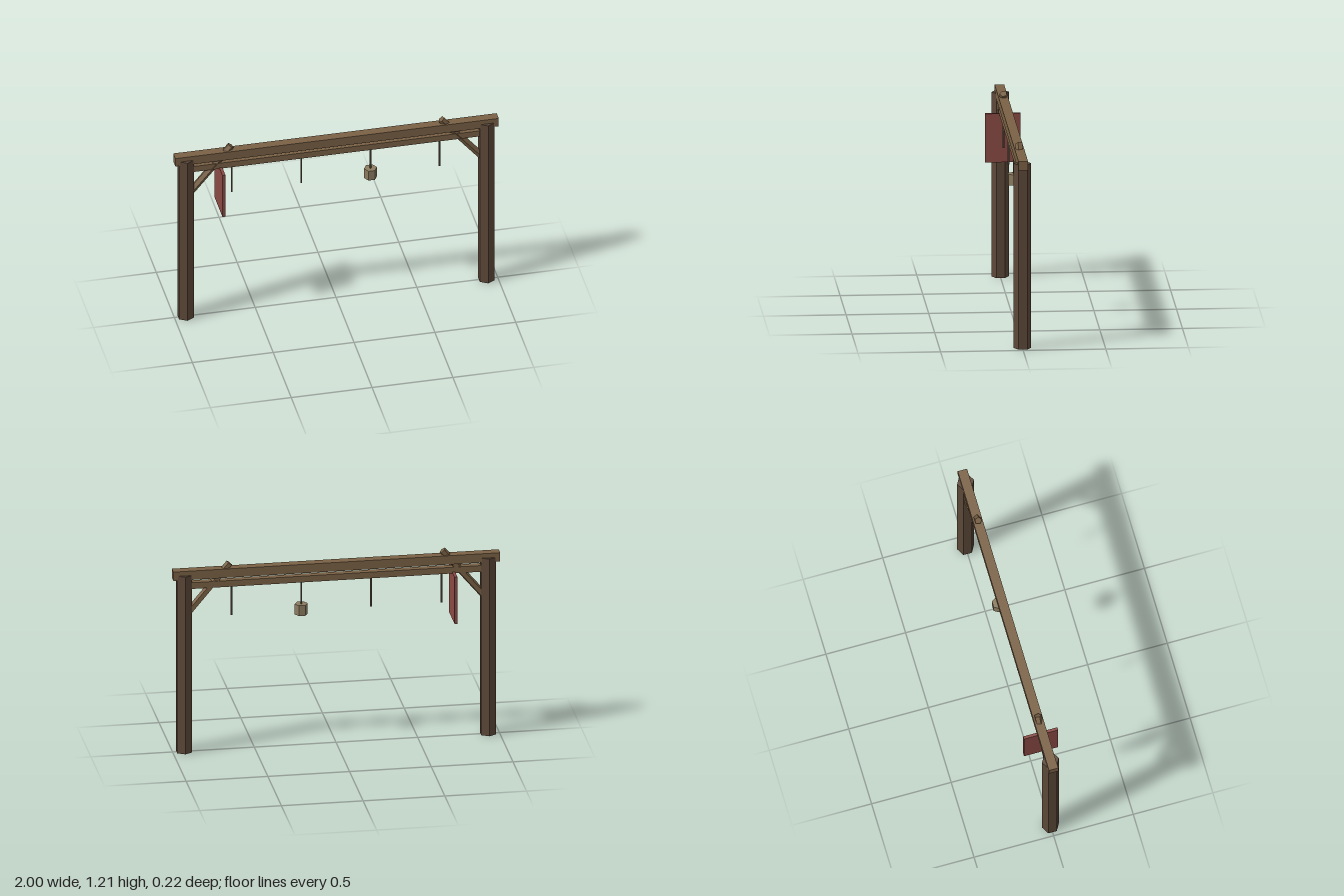
import * as THREE from 'three';

const mat = (color) => {
  const m = new THREE.MeshStandardMaterial({ flatShading: true });
  m.color.set(color);
  return m;
};

export function createModel() {
  const group = new THREE.Group();
  const darkWood = mat(0x5c4838);
  const wood = mat(0x7a6145);
  const rodWood = mat(0x6e6350);
  const blockWood = mat(0x8c7c60);
  const red = mat(0x8a4a44);

  const add = (name, geometry, material, x, y, z = 0) => {
    const mesh = new THREE.Mesh(geometry, material);
    mesh.name = name;
    mesh.position.set(x, y, z);
    group.add(mesh);
    return mesh;
  };

  // Hexagonal posts and slanted five-sided braces, mirrored
  for (const [side, s] of [['left', 1], ['right', -1]]) {
    add(`${side}Post`, new THREE.CylinderGeometry(0.053, 0.053, 1.145, 6), darkWood, s * 0.93, 0.5725);

    const low = new THREE.Vector3(s * 0.912, 0.888, 0);
    const high = new THREE.Vector3(s * 0.651, 1.2, 0);
    const dir = high.clone().sub(low);
    const brace = add(`${side}Brace`, new THREE.CylinderGeometry(0.023, 0.023, dir.length(), 5), wood,
      (low.x + high.x) / 2, (low.y + high.y) / 2);
    brace.rotation.z = Math.atan2(-dir.x, dir.y);
  }

  // Horizontal beams
  add('topBeam', new THREE.BoxGeometry(2, 0.057, 0.058), wood, 0, 1.1455);
  add('lowerBeam', new THREE.BoxGeometry(1.84, 0.04, 0.042), wood, 0, 1.075);

  // Thin hanging rods
  for (const x of [-0.645, -0.215, 0.213, 0.64]) {
    add('hangingRod', new THREE.CylinderGeometry(0.006, 0.006, 0.2, 6), rodWood, x, 0.965);
  }

  // Hanging block on one rod
  const block = add('hangingBlock', new THREE.CylinderGeometry(0.04, 0.04, 0.067, 6), blockWood, 0.213, 0.877);
  block.rotation.y = Math.PI / 6;

  // Hanging red panel
  add('hangingPanel', new THREE.BoxGeometry(0.018, 0.302, 0.215), red, -0.717, 0.912);

  return group;
}
